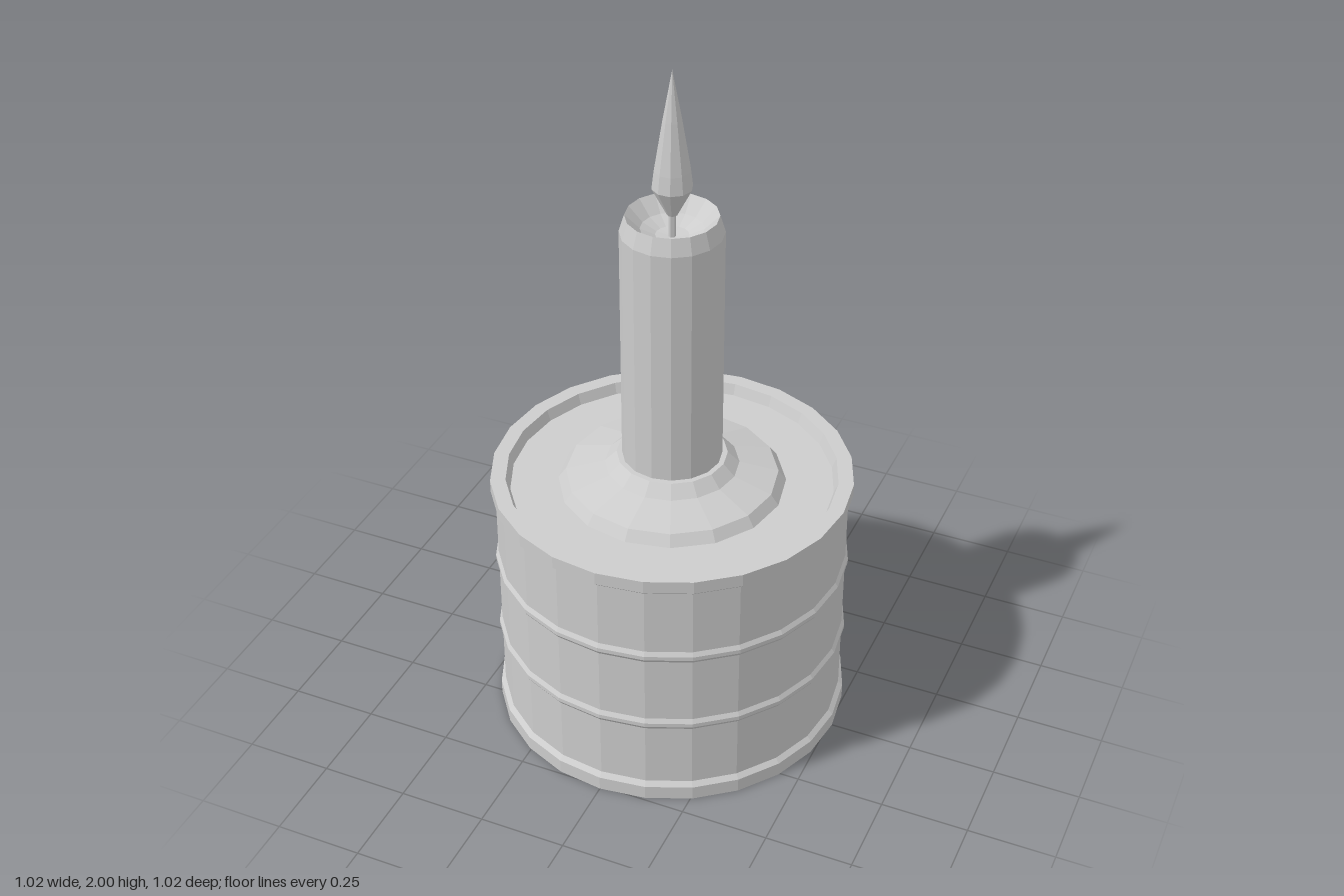
import * as THREE from 'three';

export function createModel() {
  const group = new THREE.Group();
  const grey = new THREE.MeshStandardMaterial({ color: 0xcccccc, flatShading: true });
  grey.name = 'light grey';

  // Turned part from [radius, height] pairs, listed from the bottom outwards and up
  function turned(name, sides, profile) {
    const points = profile.map(([r, y]) => new THREE.Vector2(r, y));
    const mesh = new THREE.Mesh(new THREE.LatheGeometry(points, sides), grey);
    mesh.name = name;
    group.add(mesh);
    return mesh;
  }

  // Drum: foot rim, two raised ribs, top rim and recessed lid
  const wall = 0.497;
  const rib = (y) => [[wall, y - 0.018], [0.505, y - 0.006], [0.505, y + 0.006], [wall, y + 0.018]];
  turned('drum', 24, [
    [0, 0], [0.51, 0], [0.51, 0.042], [wall, 0.055],
    ...rib(0.27), ...rib(0.51),
    [wall, 0.728], [0.51, 0.74], [0.51, 0.777],
    [0.467, 0.777], [0.455, 0.745], [0, 0.745],
  ]);

  // Flared collar holding the candle on the lid
  turned('collar', 16, [
    [0.32, 0.745], [0.298, 0.775], [0.188, 0.805], [0.155, 0.838], [0.135, 0.838],
  ]);

  // Candle with bevelled lip and hollowed top
  turned('candle', 16, [
    [0.14, 0.836], [0.14, 1.54], [0.125, 1.588], [0.085, 1.548], [0.045, 1.53], [0, 1.525],
  ]);

  // Wick
  turned('wick', 6, [[0.01, 1.52], [0.01, 1.61]]);

  // Flame, with a corner on the x axis
  turned('flame', 10, [
    [0, 1.585], [0.014, 1.59], [0.055, 1.67], [0.049, 1.72], [0.026, 1.86], [0, 2],
  ]).rotation.y = Math.PI / 2;

  return group;
}
